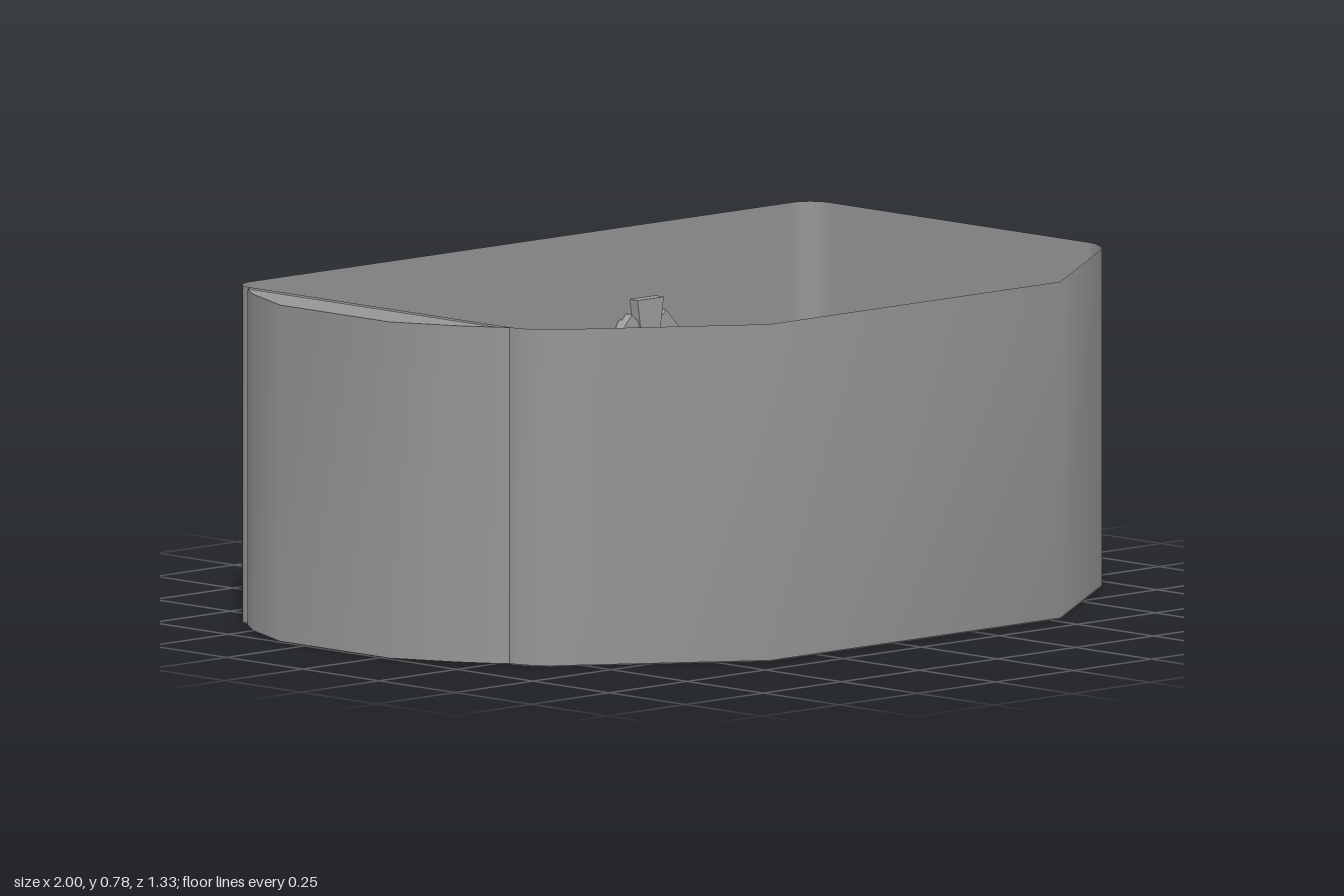
import * as THREE from 'three';

const BASE = 0.01, TOP = 0.79;
const material = new THREE.MeshStandardMaterial({ color: 0x969696, side: THREE.DoubleSide });
const stoneMaterial = new THREE.MeshStandardMaterial({ color: 0xa0a0a0, flatShading: true });

// Right half of the pointed opening: [offset from its axis, height]
const ARCH = [[0.217, BASE + 0.004], [0.212, 0.28], [0.16, 0.435], [0.078, 0.575]];

// Centre line of the stones on one side of an arch
const STONES = [[0.215, 0.075], [0.215, 0.16], [0.211, 0.248], [0.19, 0.336],
  [0.154, 0.422], [0.105, 0.5], [0.035, 0.572]];

const toVectors = (points) => points.map(([x, y]) => new THREE.Vector2(x, y));

// Quarter-round corner on plan
function corner(cx, cz, r, start) {
  return Array.from({ length: 7 }, (_, i) => {
    const a = start + (i / 6) * Math.PI / 2;
    return [cx + r * Math.cos(a), cz + r * Math.sin(a)];
  });
}

// Upright sheet following a plan path, smooth along its length
function ribbon(path) {
  const positions = [], index = [];
  path.forEach(([x, z], i) => {
    positions.push(x, BASE, z, x, TOP, z);
    if (i) {
      const a = 2 * i - 2;
      index.push(a, a + 1, a + 2, a + 2, a + 1, a + 3);
    }
  });
  const geometry = new THREE.BufferGeometry();
  geometry.setAttribute('position', new THREE.Float32BufferAttribute(positions, 3));
  geometry.setIndex(index);
  geometry.computeVertexNormals();
  return geometry;
}

// Flat wall from u0 to u1 with an arched opening on each given axis
function archedWall(u0, u1, axes) {
  const shape = new THREE.Shape(toVectors([[u0, BASE], [u1, BASE], [u1, TOP], [u0, TOP]]));
  for (const c of axes) {
    const right = ARCH.map(([u, y]) => [c + u, y]);
    const left = ARCH.map(([u, y]) => [c - u, y]).reverse();
    shape.holes.push(new THREE.Path(toVectors([...right, ...left])));
  }
  return new THREE.ShapeGeometry(shape);
}

// Level sheet filling a plan outline
function slab(outline, y) {
  return new THREE.ShapeGeometry(new THREE.Shape(toVectors(outline)))
    .rotateX(Math.PI / 2).translate(0, y, 0);
}

function block(points, z0, z1) {
  return new THREE.ExtrudeGeometry(new THREE.Shape(toVectors(points)),
    { depth: z1 - z0, bevelEnabled: false }).translate(0, 0, z0);
}

// Ring of stones with a flared keystone
function stoneArch(x) {
  const arch = new THREE.Group();
  arch.name = 'stoneArch';
  for (const side of [1, -1]) {
    for (let i = 0; i < STONES.length - 1; i++) {
      const a = new THREE.Vector2(...STONES[i]), b = new THREE.Vector2(...STONES[i + 1]);
      const dir = b.clone().sub(a).normalize();
      const out = new THREE.Vector2(dir.y, -dir.x).multiplyScalar(0.025);
      a.addScaledVector(dir, 0.002);
      b.addScaledVector(dir, -0.002);
      const quad = [a.clone().add(out), b.clone().add(out), b.clone().sub(out), a.clone().sub(out)];
      const mesh = new THREE.Mesh(
        block(quad.map((p) => [p.x * side, p.y]), -0.66, -0.615), stoneMaterial);
      mesh.name = 'archStone';
      arch.add(mesh);
    }
  }
  const keystone = new THREE.Mesh(
    block([[-0.03, 0.54], [0.03, 0.54], [0.042, 0.62], [-0.042, 0.62]], -0.665, -0.61), stoneMaterial);
  keystone.name = 'keystone';
  arch.add(keystone);
  arch.position.x = x;
  return arch;
}

export function createModel() {
  const model = new THREE.Group();
  model.name = 'chapelRoom';
  const add = (name, geometry) => {
    const mesh = new THREE.Mesh(geometry, material);
    mesh.name = name;
    model.add(mesh);
  };

  // Plan of the walls, from the right opening round the front to the back
  const frontPath = [[0.997, 0.28], [0.993, 0.305], [0.975, 0.34], [0.95, 0.37], [0.53, 0.663],
    [-0.4, 0.663], [-0.82, 0.37], [-0.845, 0.335], [-0.858, 0.3], [-0.86, 0.27],
    ...corner(-0.8, -0.575, 0.06, Math.PI)];
  const backCorner = corner(0.937, -0.575, 0.06, -Math.PI / 2);

  add('frontAndLeftWall', ribbon(frontPath));
  add('backCorner', ribbon(backCorner));
  add('backWall', archedWall(-0.8, 0.937, [-0.35, 0.46]).translate(0, 0, -0.635));
  add('sideWall', archedWall(-0.575, 0.28, [-0.143]).rotateY(-Math.PI / 2).translate(0.997, 0, 0));
  add('floor', slab([...frontPath, ...backCorner], BASE - 0.002));

  // Closed bay on the left wall, its roof stopping just short of the wall
  const bayOuter = [[-0.88, 0.26], [-0.93, 0.18], [-1, 0.03],
    [-1, -0.33], [-0.93, -0.49], [-0.88, -0.56]];
  const bayPath = [[-0.86, 0.28], ...bayOuter, [-0.86, -0.575]];
  add('bayWall', ribbon(bayPath));
  add('bayRoof', slab(bayOuter, TOP));
  add('bayFloor', slab(bayPath, BASE));

  // Stone surrounds of the back openings
  for (const x of [-0.35, 0.46]) model.add(stoneArch(x));
  return model;
}
